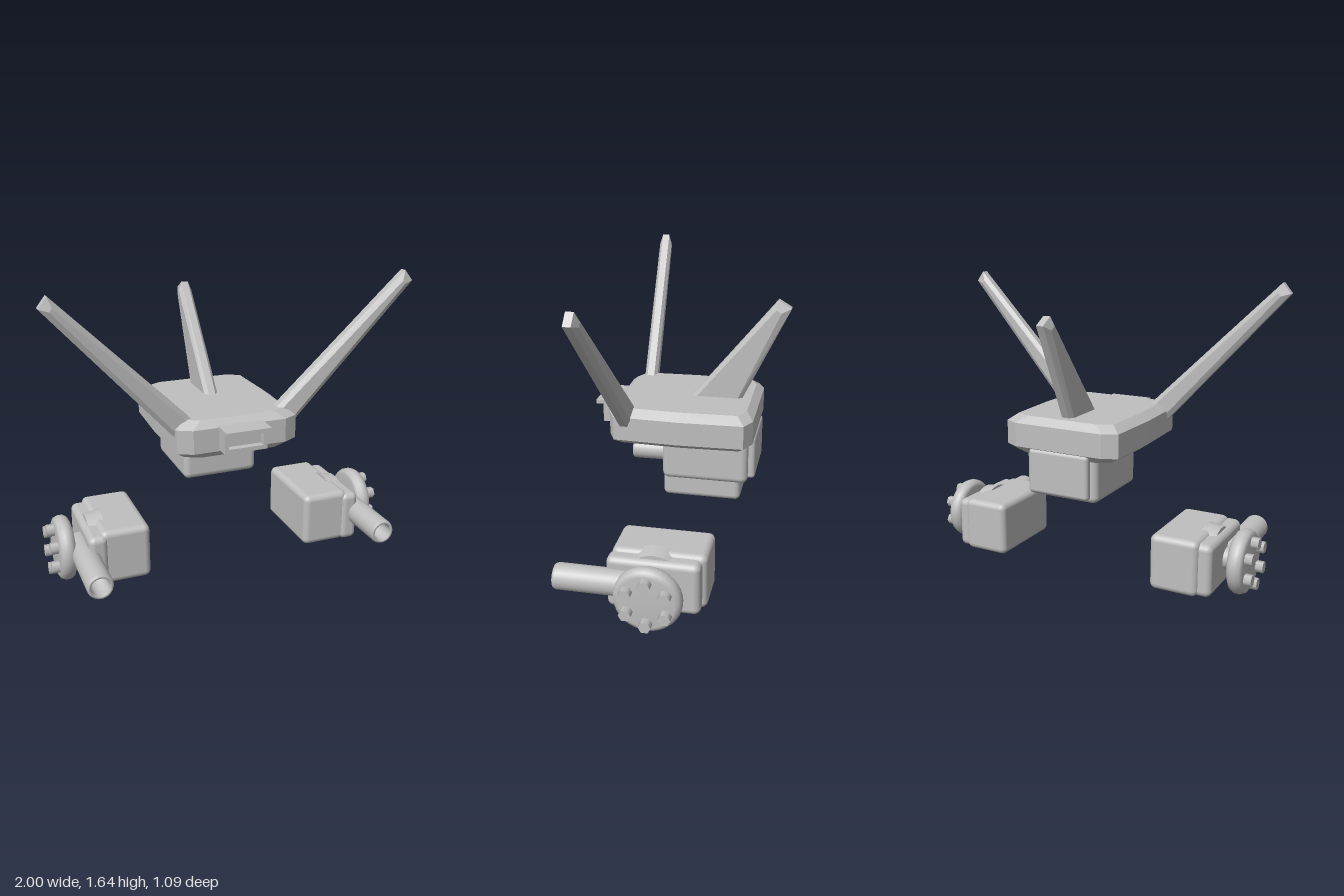
import * as THREE from 'three';
import { RoundedBoxGeometry } from 'three/addons/geometries/RoundedBoxGeometry.js';
import { ConvexGeometry } from 'three/addons/geometries/ConvexGeometry.js';

const V = (x, y, z) => new THREE.Vector3(x, y, z);

export function createModel() {
  const grey = new THREE.MeshStandardMaterial({ color: 0xc0c0c0 });
  grey.name = 'plain grey';
  const model = new THREE.Group();
  model.name = 'model';

  function add(parent, name, geometry, x = 0, y = 0, z = 0) {
    const mesh = new THREE.Mesh(geometry, grey);
    mesh.name = name;
    mesh.position.set(x, y, z);
    parent.add(mesh);
    return mesh;
  }

  // Box given by its limits, rounded when r > 0
  function block(parent, name, x0, x1, y0, y1, z0, z1, r = 0) {
    const s = [Math.abs(x1 - x0), y1 - y0, z1 - z0];
    const g = r ? new RoundedBoxGeometry(...s, 3, r) : new THREE.BoxGeometry(...s);
    return add(parent, name, g, (x0 + x1) / 2, (y0 + y1) / 2, (z0 + z1) / 2);
  }

  // Tapered fin with chamfered long edges: two base corners, two tip corners
  function fin(name, a, b, c, d, axis, half, edge, chamfer) {
    const pts = [];
    const along = c.clone().sub(a).normalize();
    [[a, b, 0], [c, d, 0.03]].forEach(([p, q, back]) => {
      const across = q.clone().sub(p).normalize().multiplyScalar(chamfer);
      for (const s of [-1, 1]) {
        for (const corner of [p, q]) {
          pts.push(corner.clone().addScaledVector(axis, s * edge));
          const inner = corner.clone().addScaledVector(across, corner === p ? 1 : -1);
          pts.push(inner.clone().addScaledVector(axis, s * (back ? edge : half)));
          if (back) {
            pts.push(inner.addScaledVector(along, -back * 1.6).addScaledVector(axis, s * half));
          }
        }
      }
    });
    add(model, name, new ConvexGeometry(pts));
  }

  // Central hull: bevelled slab with clipped corners
  const hull = [];
  const outline = [[0.35, 0], [0.338, 0.35], [0.26, 0.39]];
  for (const [y, ix, iz] of [[0.74, 0.05, 0.03], [0.775, 0, 0], [0.905, 0, 0], [0.943, 0.05, 0.04]]) {
    for (const [x, z] of outline) {
      for (const sx of [-1, 1]) {
        for (const sz of [-1, 1]) hull.push(V(sx * (x - ix), y, sz * Math.max(0, z - iz)));
      }
    }
  }
  add(model, 'hull', new ConvexGeometry(hull));

  // Lower housing and its rear plate
  block(model, 'lowerHousing', -0.215, 0.215, 0.506, 0.8, -0.36, 0.115, 0.035);
  block(model, 'rearPlate', -0.18, 0.18, 0.53, 0.775, -0.397, -0.34, 0.02);

  // Front bracket: top ledge above a recessed frame
  const bracket = new THREE.Group();
  bracket.name = 'frontBracket';
  model.add(bracket);
  block(bracket, 'bracketLedge', -0.125, 0.125, 0.89, 0.913, 0.35, 0.505);
  block(bracket, 'bracketPanel', -0.115, 0.115, 0.787, 0.892, 0.35, 0.43);
  block(bracket, 'bracketSill', -0.118, 0.118, 0.785, 0.808, 0.35, 0.468);
  for (const s of [-1, 1]) block(bracket, 'bracketSide', s * 0.098, s * 0.12, 0.785, 0.892, 0.35, 0.468);

  // Rear fin
  fin('rearFin', V(0, 0.92, -0.005), V(0, 0.92, -0.29), V(0, 1.5, -0.478), V(0, 1.458, -0.549),
    V(1, 0, 0), 0.039, 0.02, 0.025);

  // Swept side fins and side pods
  const wheelY = 0.185, wheelZ = 0.035;
  for (const s of [-1, 1]) {
    fin('sideFin', V(s * 0.22, 0.92, 0.28), V(s * 0.34, 0.855, 0.293), V(s * 0.953, 1.645, 0.34),
      V(s * 0.998, 1.588, 0.343), V(0, 0, 1), 0.037, 0.02, 0.025);

    const pod = new THREE.Group();
    pod.name = s > 0 ? 'leftPod' : 'rightPod';
    model.add(pod);

    // Cylinder or lathe whose axis points outward along x
    const outward = (name, g, x, y = wheelY, z = wheelZ) => {
      add(pod, name, g, s * x, y, z).rotation.z = -s * Math.PI / 2;
    };

    block(pod, 'podBody', s * 0.465, s * 0.738, 0.038, 0.348, -0.235, 0.267, 0.035);
    block(pod, 'podOuterShell', s * 0.7, s * 0.805, 0.038, 0.33, -0.21, 0.28, 0.035);
    outward('hubDisc', new THREE.CylinderGeometry(0.165, 0.178, 0.085, 32), 0.73);
    outward('axle', new THREE.CylinderGeometry(0.04, 0.07, 0.12, 24), 0.83);

    // Wheel with rounded rim
    const profile = [[0, -0.045], [0.145, -0.045], [0.165, -0.035], [0.177, -0.015], [0.178, 0.01],
      [0.168, 0.033], [0.145, 0.045], [0, 0.045]].map(([x, y]) => new THREE.Vector2(x, y));
    outward('wheel', new THREE.LatheGeometry(profile, 32), 0.9);

    // Ring of hexagonal bolts
    for (let i = 0; i < 6; i++) {
      const t = Math.PI / 2 + i * Math.PI / 3;
      outward('bolt', new THREE.CylinderGeometry(0.033, 0.033, 0.06, 6), 0.957,
        wheelY + 0.115 * Math.sin(t), wheelZ + 0.115 * Math.cos(t));
    }

    // Hollow barrel pointing forward
    const tube = [[0, 0], [0.07, 0], [0.07, 0.48], [0.064, 0.495], [0.052, 0.495], [0.048, 0.485],
      [0.048, 0.35], [0, 0.35]].map(([x, y]) => new THREE.Vector2(x, y));
    add(pod, 'barrel', new THREE.LatheGeometry(tube, 32), s * 0.813, 0.2, 0.05).rotation.x = Math.PI / 2;
  }
  return model;
}
